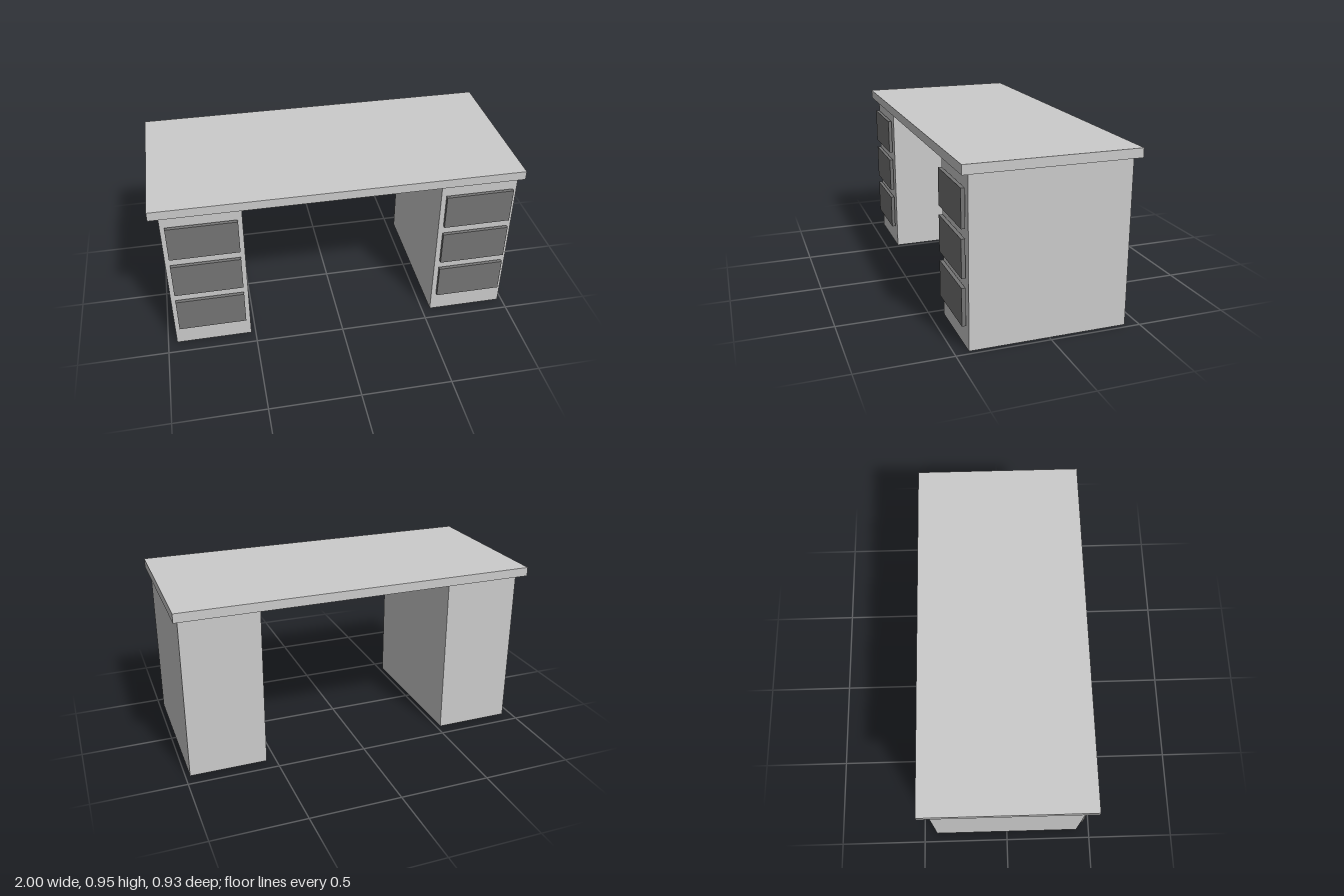
import * as THREE from 'three';

export function createModel() {
  const desk = new THREE.Group();
  desk.name = 'desk';
  const grey = new THREE.MeshStandardMaterial({ color: 0xcccccc });
  const dark = new THREE.MeshStandardMaterial({ color: 0x757575 });

  function box(parent, name, material, size, position) {
    const mesh = new THREE.Mesh(new THREE.BoxGeometry(...size), material);
    mesh.name = name;
    mesh.position.set(...position);
    parent.add(mesh);
  }

  // Overhanging worktop
  box(desk, 'desktop', grey, [2, 0.05, 0.925], [0, 0.925, 0]);

  // Two drawer pedestals, set slightly off-centre under the worktop
  for (const [side, x] of [['right', -0.7375], ['left', 0.7625]]) {
    const pedestal = new THREE.Group();
    pedestal.name = side + 'Pedestal';
    pedestal.position.x = x;
    box(pedestal, 'cabinet', grey, [0.425, 0.9, 0.85], [0, 0.45, 0]);

    // Drawer fronts stand just clear of the cabinet face
    for (let i = 0; i < 3; i++) {
      box(pedestal, 'drawerFront' + (i + 1), dark, [0.375, 0.2, 0.02], [0, 0.225 + i * 0.25, 0.4425]);
    }
    desk.add(pedestal);
  }
  return desk;
}
